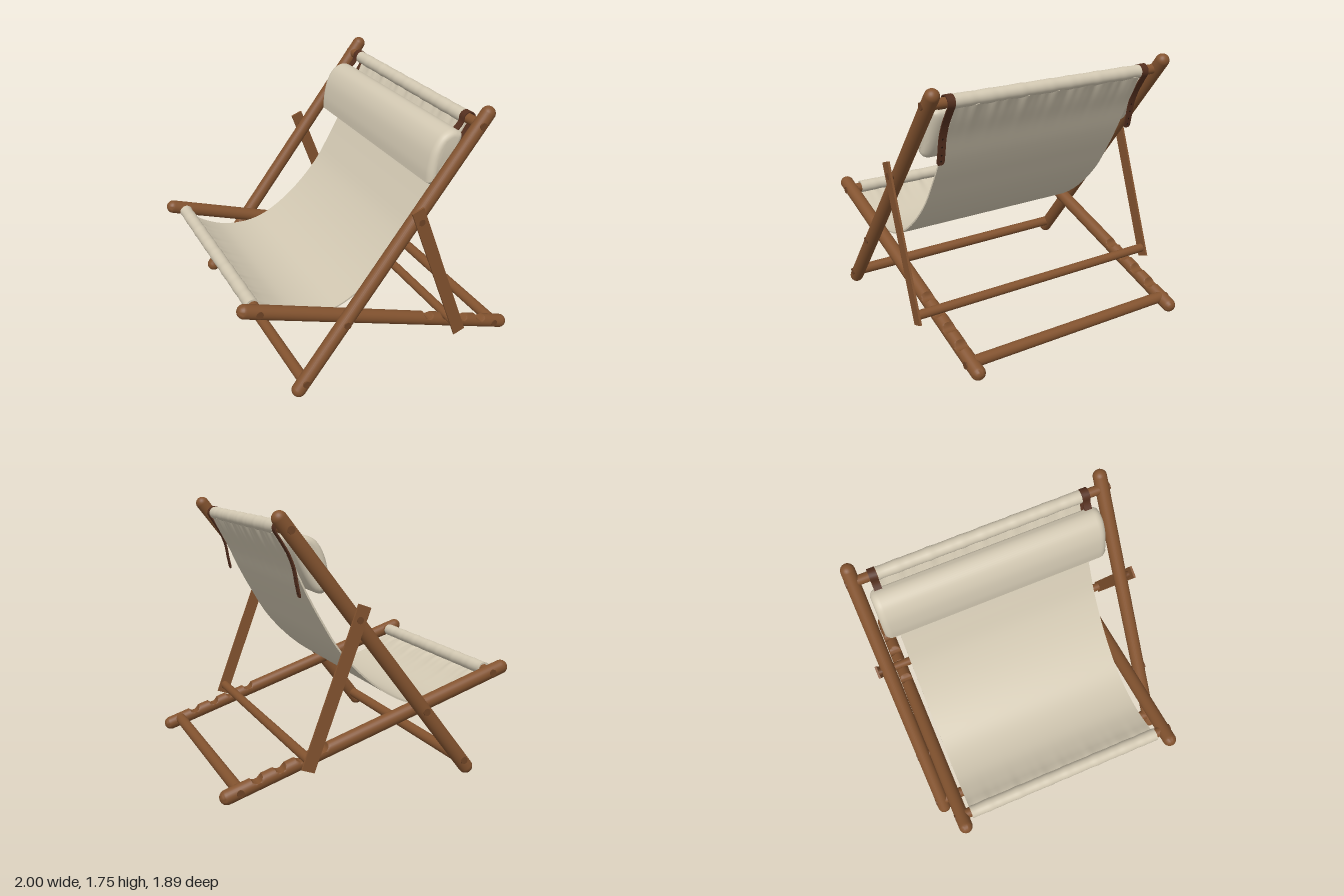
import * as THREE from 'three';
import { toCreasedNormals } from 'three/addons/utils/BufferGeometryUtils.js';

export function createModel() {
  const chair = new THREE.Group();
  chair.name = 'deckChair';
  const material = (name, color) => {
    const m = new THREE.MeshStandardMaterial({ color });
    m.name = name;
    return m;
  };
  const wood = material('wood', 0x83532f);
  const pegWood = material('pegWood', 0x6e4426);
  const canvas = material('canvas', 0xd2c8b2);
  const leather = material('leather', 0x55301f);
  const hole = material('strapHole', 0x24150f);

  const add = (name, geometry, mat, x = 0, y = 0, z = 0) => {
    const mesh = new THREE.Mesh(geometry, mat);
    mesh.name = name;
    mesh.position.set(x, y, z);
    chair.add(mesh);
    return mesh;
  };

  // Round-ended rail in the xy plane; notches are distances from its middle
  const rail = (name, a, b, r, z, notches = []) => {
    const dx = b[0] - a[0], dy = b[1] - a[1], R = 0.036;
    let g = new THREE.CapsuleGeometry(r, Math.hypot(dx, dy), 8, 28, notches.length ? 240 : 1);
    if (notches.length) {
      const p = g.attributes.position;
      for (let i = 0; i < p.count; i++) {
        for (const n of notches) {
          const d = p.getY(i) - n;
          if (Math.abs(d) < R) p.setX(i, Math.max(p.getX(i), -r + Math.sqrt(R * R - d * d)));
        }
      }
      g = toCreasedNormals(g, 0.7);
    }
    const mesh = add(name, g, wood, (a[0] + b[0]) / 2, (a[1] + b[1]) / 2, z);
    mesh.rotation.z = Math.atan2(dy, dx) - Math.PI / 2;
  };

  // Cylinder lying along z
  const bar = (name, x, y, r, length, mat, z = 0) => {
    const g = new THREE.CylinderGeometry(r, r, length, 24).rotateX(Math.PI / 2);
    return add(name, g, mat, x, y, z);
  };

  const seatA = [-0.953, 0.671], seatB = [0.953, 0.05];
  const notches = [0.33, 0.47, 0.61, 0.76].map((x) => x * 1.051);

  for (const s of [-1, 1]) {
    // Side frames
    rail('backRail', [-0.648, 0.048], [0.635, 1.709], 0.047, s * 0.867);
    rail('seatRail', seatA, seatB, 0.047, s * 0.775, notches);

    // Flat prop on the outside
    const prop = add('propSlat', new THREE.BoxGeometry(0.085, 1.05, 0.014), wood, 0.312, 0.694, s * 0.937);
    prop.rotation.z = Math.atan2(0.367, 0.985);

    // Peg ends
    for (const [x, y] of [[0.58, 1.645], [-0.61, 0.105]]) bar('railPeg', x, y, 0.024, 0.02, pegWood, s * 0.906);
    for (const [x, y] of [[-0.87, 0.645], [0.88, 0.075]]) bar('railPeg', x, y, 0.024, 0.02, pegWood, s * 0.814);
    bar('crossingPivot', -0.325, 0.467, 0.024, 0.18, pegWood, s * 0.826);
    bar('propPivot', 0.16, 1.1, 0.022, 0.08, pegWood, s * 0.906);
  }

  // Cross bars
  bar('topBar', 0.58, 1.645, 0.033, 1.7, wood);
  bar('bottomBar', -0.61, 0.105, 0.037, 1.7, wood);
  bar('seatFrontBar', -0.87, 0.645, 0.035, 1.52, wood);
  bar('seatRearBar', 0.88, 0.083, 0.038, 1.52, wood);
  bar('propBar', 0.475, 0.26, 0.031, 1.87, wood);

  // Canvas hems round the top and front bars
  const wrinkle = (z) => Math.sin(z * 31) * 0.5 + Math.sin(z * 53 + 1.3) * 0.35 + Math.sin(z * 87 + 0.4) * 0.25;
  for (const [name, x, y] of [['topHem', 0.58, 1.645], ['frontHem', -0.875, 0.648]]) {
    const g = new THREE.CylinderGeometry(0.044, 0.044, 1.41, 24, 80).rotateX(Math.PI / 2);
    const p = g.attributes.position;
    for (let i = 0; i < p.count; i++) {
      const k = 1 + 0.045 * wrinkle(p.getZ(i));
      p.setX(i, p.getX(i) * k);
      p.setY(i, p.getY(i) * k);
    }
    add(name, toCreasedNormals(g, 0.8), canvas, x, y);
  }

  // Hanging canvas, bent along a sagging curve and gathered near both hems
  const sag = new THREE.CatmullRomCurve3([
    [0.6, 1.62], [0.55, 1.52], [0.485, 1.4], [0.4, 1.225], [0.3, 1.045], [0.19, 0.87], [0.02, 0.685],
    [-0.15, 0.555], [-0.3, 0.482], [-0.44, 0.461], [-0.6, 0.48], [-0.74, 0.54], [-0.82, 0.59], [-0.88, 0.612],
  ].map(([x, y]) => new THREE.Vector3(x, y, 0)));
  const sheet = new THREE.BoxGeometry(1, 0.011, 1.41, 70, 1, 90);
  const sp = sheet.attributes.position;
  for (let i = 0; i < sp.count; i++) {
    const u = THREE.MathUtils.clamp(sp.getX(i) + 0.5, 0, 1), z = sp.getZ(i);
    const c = sag.getPointAt(u), t = sag.getTangentAt(u);
    const edge = Math.min(u, 1 - u);
    const h = sp.getY(i) + 0.011 * wrinkle(z) * Math.exp(-edge / 0.035);
    sp.setXYZ(i, c.x + t.y * h, c.y - t.x * h, z);
  }
  sheet.computeVertexNormals();
  add('canvasSeat', sheet, canvas).material.side = THREE.DoubleSide;

  // Head pillow
  const outline = new THREE.SplineCurve([
    [0.285, 1.27], [0.29, 1.36], [0.318, 1.48], [0.37, 1.565], [0.435, 1.598], [0.49, 1.59], [0.522, 1.55],
    [0.47, 1.41], [0.395, 1.275], [0.34, 1.245], [0.285, 1.27],
  ].map(([x, y]) => new THREE.Vector2(x, y)));
  const pillow = new THREE.ExtrudeGeometry(new THREE.Shape(outline.getPoints(56).slice(0, -1)), {
    depth: 1.5, steps: 1, bevelEnabled: true, bevelThickness: 0.05, bevelSize: 0.04, bevelOffset: -0.04, bevelSegments: 6,
  }).translate(0, 0, -0.75);
  add('headPillow', toCreasedNormals(pillow, 0.9), canvas);

  // Leather straps looped over the top bar and hanging behind
  for (const s of [-1, 1]) {
    const path = new THREE.CatmullRomCurve3([
      [0.485, 1.57], [0.535, 1.625], [0.545, 1.67], [0.58, 1.689], [0.615, 1.67], [0.622, 1.635], [0.592, 1.585],
      [0.535, 1.49], [0.5, 1.4], [0.483, 1.31], [0.465, 1.225],
    ].map(([x, y]) => new THREE.Vector3(x, y, 0)));
    const g = new THREE.BoxGeometry(1, 0.008, 0.052, 50, 1, 1);
    const p = g.attributes.position;
    for (let i = 0; i < p.count; i++) {
      const u = THREE.MathUtils.clamp(p.getX(i) + 0.5, 0, 1), h = p.getY(i);
      const c = path.getPointAt(u), t = path.getTangentAt(u);
      p.setXYZ(i, c.x - t.y * h, c.y + t.x * h, p.getZ(i) * (u > 0.99 ? 0.6 : 1));
    }
    g.computeVertexNormals();
    add('pillowStrap', toCreasedNormals(g, 0.7), leather, 0, 0, s * 0.733);

    // Buckle holes
    for (const u of [0.74, 0.82, 0.9, 0.96]) {
      const c = path.getPointAt(u), t = path.getTangentAt(u);
      const dot = add('strapHole', new THREE.CylinderGeometry(0.006, 0.006, 0.0095, 10), hole, c.x, c.y, s * 0.733);
      dot.rotation.z = Math.atan2(t.y, t.x);
    }
  }
  return chair;
}
